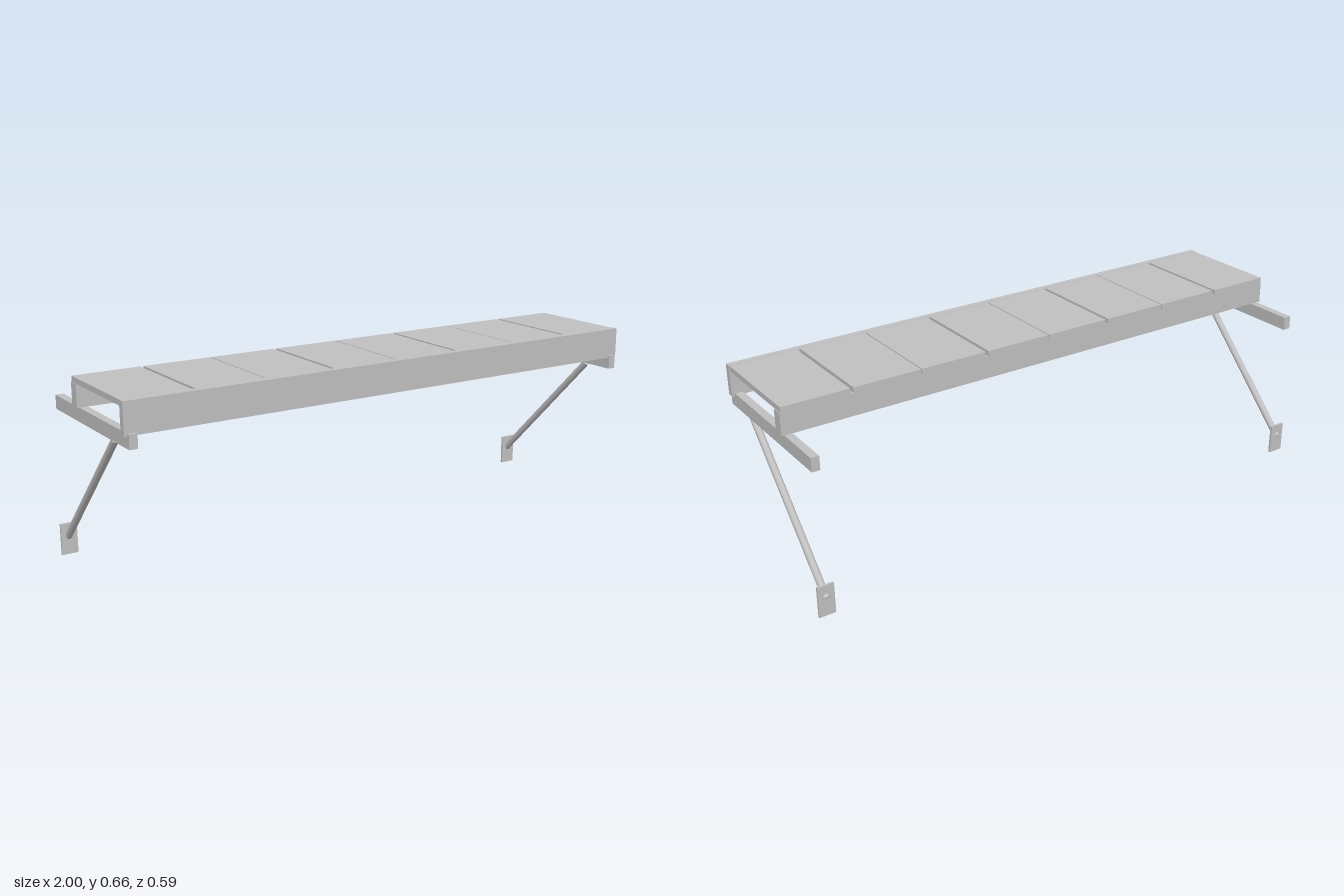
import * as THREE from 'three';

export function createModel() {
  const model = new THREE.Group();
  model.name = 'wallBench';
  const grey = new THREE.MeshStandardMaterial({ color: 0xc0c0c0 });
  grey.name = 'light grey';

  // Box given by its limits on each axis
  function box(name, [x0, x1], [y0, y1], [z0, z1]) {
    const mesh = new THREE.Mesh(new THREE.BoxGeometry(x1 - x0, y1 - y0, z1 - z0), grey);
    mesh.position.set((x0 + x1) / 2, (y0 + y1) / 2, (z0 + z1) / 2);
    mesh.name = name;
    model.add(mesh);
  }

  // Long rails under and in front of the seat
  box('frontRail', [-0.995, 0.995], [0.55, 0.658], [0.262, 0.286]);
  box('backRail', [-0.995, 0.995], [0.56, 0.638], [-0.111, -0.073]);

  // Eight seat panels, with alternating wide and narrow gaps
  const halfGap = (i) => (i % 2 ? 0.006 : 0.002);
  for (let i = 0; i < 8; i++) {
    const left = -1 + i * 0.25 + halfGap(i);
    const right = -1 + (i + 1) * 0.25 - halfGap(i + 1);
    box('seatPanel', [Math.max(left, -0.992), Math.min(right, 0.992)], [0.638, 0.657], [-0.112, 0.262]);
  }

  // Wall brackets: arm, sloping round strut and wall plate on each side
  const top = new THREE.Vector3(0, 0.509, 0.161);
  const bottom = new THREE.Vector3(0, 0.0625, -0.286);
  const axis = top.clone().sub(bottom);
  for (const side of [-1, 1]) {
    const x = side * 0.97;
    box('bracketArm', [x - 0.014, x + 0.014], [0.51, 0.558], [-0.286, 0.295]);
    box('wallPlate', [x - 0.029, x + 0.029], [0, 0.11], [-0.286, -0.278]);

    const strut = new THREE.Mesh(new THREE.CylinderGeometry(0.0125, 0.0125, axis.length(), 20), grey);
    strut.position.copy(top).add(bottom).multiplyScalar(0.5).setX(x);
    strut.quaternion.setFromUnitVectors(new THREE.Vector3(0, 1, 0), axis.clone().normalize());
    strut.name = 'strut';
    model.add(strut);
  }
  return model;
}
